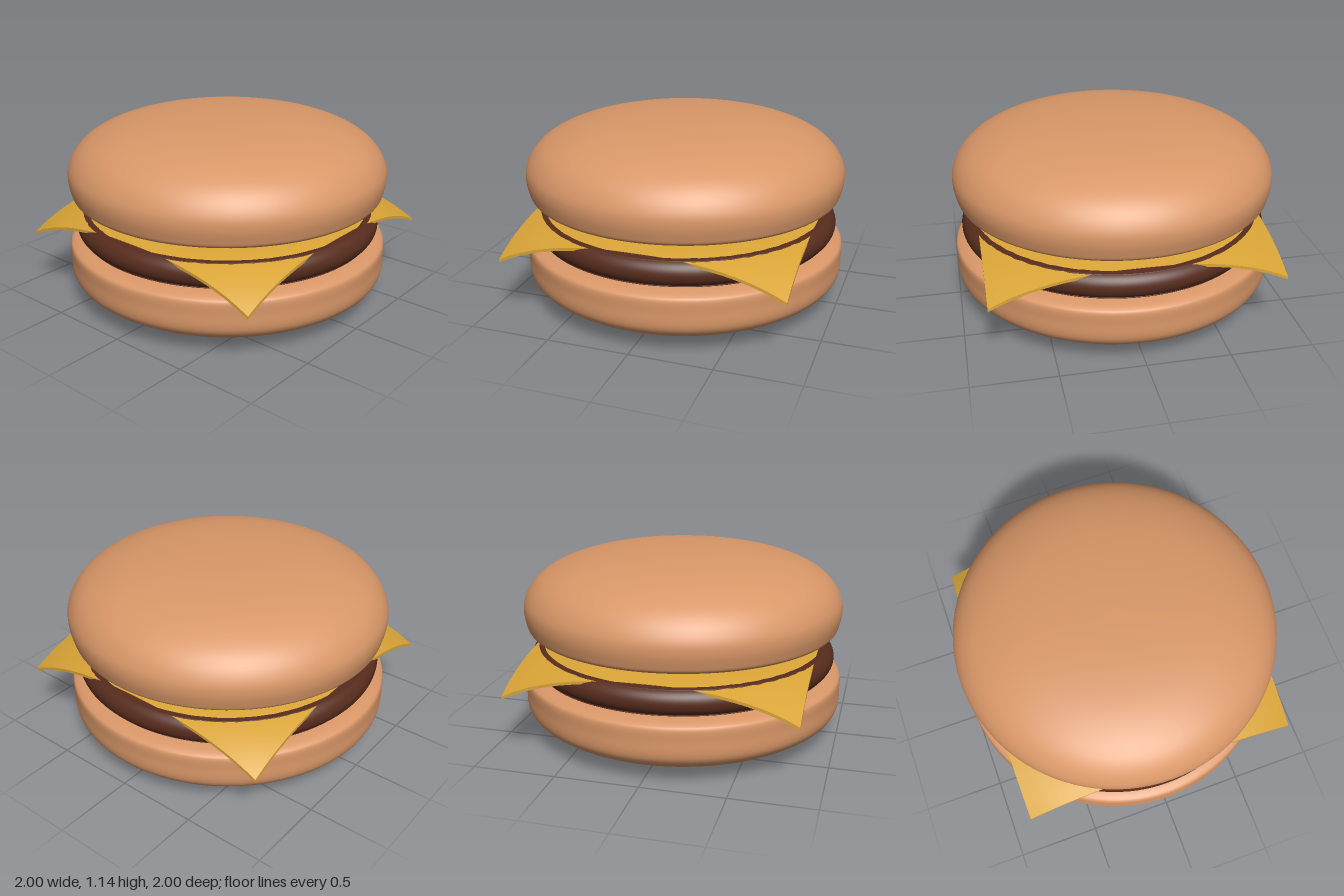
import * as THREE from 'three';

const bun = new THREE.MeshStandardMaterial({ color: 0xd99768 });
const meat = new THREE.MeshStandardMaterial({ color: 0x572c1d });
const cheese = new THREE.MeshStandardMaterial({ color: 0xd9a437 });

// Smooth turned part from [radius, height] points, listed bottom to top
function turned(name, points, material) {
  const curve = new THREE.SplineCurve(points.map(([r, y]) => new THREE.Vector2(r, y)));
  const profile = curve.getPoints(60);
  profile.forEach((p) => { p.x = Math.max(p.x, 0); });
  const mesh = new THREE.Mesh(new THREE.LatheGeometry(profile, 96), material);
  mesh.name = name;
  return mesh;
}

// Thin square slab whose height drops with distance from the centre
function cheeseSlice() {
  const size = 1.73, thickness = 0.018, topY = 0.614;
  const geometry = new THREE.BoxGeometry(size, thickness, size, 24, 1, 24);
  const pos = geometry.attributes.position;
  for (let i = 0; i < pos.count; i++) {
    const r = Math.hypot(pos.getX(i), pos.getZ(i));
    const drop = 0.05 * Math.pow(r / 0.865, 4.2);
    pos.setY(i, topY - thickness / 2 + pos.getY(i) - drop);
  }
  geometry.computeVertexNormals();
  const mesh = new THREE.Mesh(geometry, cheese);
  mesh.name = 'cheeseSlice';
  return mesh;
}

export function createModel() {
  const group = new THREE.Group();
  group.name = 'cheeseburger';

  // Lower bun: rounded underside, straight wall, softly rounded top edge
  group.add(turned('bottomBun', [
    [0, 0], [0.25, 0.004], [0.5, 0.016], [0.7, 0.036], [0.85, 0.07], [0.94, 0.115],
    [0.985, 0.16], [1, 0.21], [1, 0.28], [1, 0.35], [0.98, 0.375], [0.93, 0.391],
    [0.85, 0.4], [0.6, 0.405], [0.3, 0.407], [0, 0.407],
  ], bun));

  // Patty: flat disc with a fully rounded rim
  const rim = [];
  for (let i = 0; i <= 8; i++) {
    const a = -Math.PI / 2 + (Math.PI * i) / 8;
    rim.push([0.875 + 0.08 * Math.cos(a), 0.48 + 0.08 * Math.sin(a)]);
  }
  group.add(turned('patty', [[0, 0.395], [0.5, 0.396], ...rim, [0.5, 0.572], [0, 0.577]], meat));

  group.add(cheeseSlice());

  // Upper bun: nearly flat underside and a domed crown
  group.add(turned('topBun', [
    [0, 0.615], [0.3, 0.617], [0.6, 0.626], [0.8, 0.639], [0.92, 0.656], [0.965, 0.675],
    [0.98, 0.71], [0.993, 0.78], [0.985, 0.85], [0.94, 0.93], [0.86, 1.0], [0.73, 1.06],
    [0.55, 1.105], [0.3, 1.133], [0, 1.142],
  ], bun));

  return group;
}
